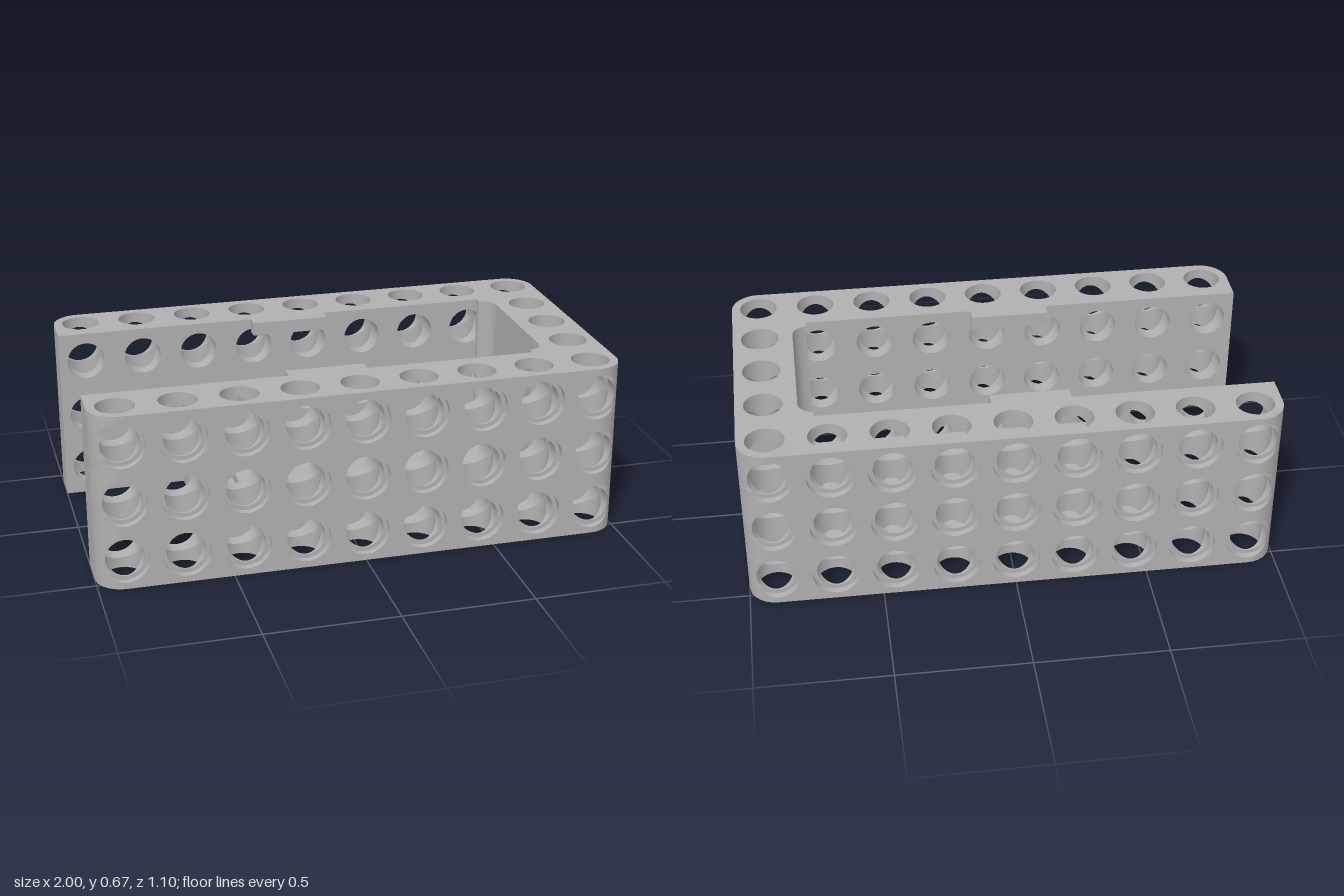
import * as THREE from 'three';
import { mergeGeometries } from 'three/addons/utils/BufferGeometryUtils.js';

const P = 0.224;          // hole pitch
const H = 3 * P;          // height
const R = 0.104;          // corner radius, also hole axis to outer face
const AX = 4 * P, AZ = 2 * P; // outermost hole axes
const RO = 0.088, RI = 0.072; // counterbore and bore radii
const FLOOR = R - 0.026;  // counterbore floor
const IN = 0.32;          // inner face of the side walls
const N = 48;
const TAU = Math.PI * 2;

// Surface from a rule fn(u, v) -> [x, y, z]
function grid(nu, nv, fn) {
  const g = new THREE.PlaneGeometry(1, 1, nu, nv);
  const { position: p, uv } = g.attributes;
  for (let i = 0; i < p.count; i++) p.setXYZ(i, ...fn(uv.getX(i), uv.getY(i)));
  g.computeVertexNormals();
  return g;
}

// Ring surface between two closed loops given by angle
function ring(a, b, segs = 1, map = q => q) {
  return grid(N, segs, (u, v) => {
    const p = a(u * TAU), q = b(u * TAU);
    return map(p.map((c, k) => c + (q[k] - c) * v));
  });
}

// Wall surface unrolled around the rounded corners, and its inverse
function wrap([u, y]) {
  const s = Math.sign(u), d = Math.abs(u) - AX;
  return d <= 0 ? [u, y, R] : [s * (AX + R * Math.sin(d / R)), y, R * Math.cos(d / R)];
}
function unroll(x) {
  const d = Math.abs(x) - AX;
  return d <= 0 ? x : Math.sign(x) * (AX + R * Math.asin(d / R));
}

// One square of outer wall with a counterbored hole that meets the vertical bore
function holeCell(cx, cy, lo, hi, inner, blind) {
  const at = (t, r) => [cx + r * Math.cos(t), cy + r * Math.sin(t)];
  const rim = t => { const [x, y] = at(t, RO); return [unroll(x), y, 0]; };
  const edge = t => {
    const c = Math.cos(t), s = Math.sin(t), m = Math.max(Math.abs(c), Math.abs(s));
    return [cx + (c / m) * (c > 0 ? hi - cx : cx - lo), cy + (s / m) * P / 2, 0];
  };
  const seat = r => t => {
    const [x, y] = at(t, r);
    return [x, y, Math.min(FLOOR, wrap([unroll(x), y])[2])];
  };
  const mitre = k => t => [...at(t, RI), k * Math.abs(RI * Math.sin(t))];
  const back = r => t => [...at(t, r), -inner];
  const parts = [
    ring(edge, rim, hi - lo > P + 0.01 ? 8 : 1, wrap),
    ring(t => wrap(rim(t)), seat(RO)),
    ring(seat(RO), seat(RI)),
    ring(seat(RI), mitre(1)),
    ring(mitre(-1), back(RI)),
  ];
  if (blind) parts.push(ring(back(RI), back(0)));
  return mergeGeometries(parts);
}

// Vertical bore mitred at each crossing hole; cross is the axis of those holes
function verticalBore(x, z, cross, split) {
  const loop = (y, k, r = RI) => t => {
    const c = r * Math.cos(t), s = r * Math.sin(t);
    return [x + c, y + k * Math.abs(cross === 'z' ? s : c), z - s];
  };
  const rows = [2.5 * P, 1.5 * P, 0.5 * P];
  const top = 2.5 * P - 0.13, low = 0.5 * P + 0.13;
  if (split) return mergeGeometries([
    ring(loop(H, 0), loop(rows[0], 1)), ring(loop(rows[0], -1), loop(top, 0)),
    ring(loop(top, 0), loop(top, 0, 0)), ring(loop(low, 0, 0), loop(low, 0)),
    ring(loop(low, 0), loop(rows[2], 1)), ring(loop(rows[2], -1), loop(0, 0)),
  ]);
  return mergeGeometries([
    ring(loop(H, 0), loop(rows[0], 1)),
    ring(loop(rows[0], -1), loop(rows[1], 1)),
    ring(loop(rows[1], -1), loop(rows[2], 1)),
    ring(loop(rows[2], -1), loop(0, 0)),
  ]);
}

function circle(x, y) {
  return new THREE.Path().absarc(x, y, RI, 0, TAU, true);
}

// Closed end of the inner cavity, from +z side to -z side
function cavityEnd(s) {
  s.lineTo(0.715, IN);
  s.lineTo(0.715, 0.295);
  s.quadraticCurveTo(0.765, 0.285, 0.77, 0.235);
  s.lineTo(0.77, -0.235);
  s.quadraticCurveTo(0.765, -0.285, 0.715, -0.295);
  s.lineTo(0.715, -IN);
}

export function createModel() {
  const group = new THREE.Group();
  const grey = new THREE.MeshStandardMaterial({ color: 0xb0b0b0 });
  grey.name = 'grey plastic';
  const add = (name, geo, x = 0, y = 0, z = 0) => {
    const m = new THREE.Mesh(geo, grey);
    m.name = name;
    m.position.set(x, y, z);
    group.add(m);
    return m;
  };

  // Long outer walls with their rounded corners
  const limit = AX + R * Math.PI / 2;
  for (const s of [1, -1]) {
    const cells = [];
    for (let i = 0; i < 9; i++) for (let j = 0; j < 3; j++) {
      const cx = (i - 4) * P, blind = s * cx > AX - 0.01;
      cells.push(holeCell(cx, (j + 0.5) * P, i === 0 ? -limit : cx - P / 2,
        i === 8 ? limit : cx + P / 2, blind ? 0.1 : AZ - IN, blind));
    }
    const wall = add(s > 0 ? 'frontWall' : 'backWall', mergeGeometries(cells), 0, 0, s * AZ);
    if (s < 0) wall.rotation.y = Math.PI;
  }

  // Closed end wall, with no hole in the middle
  const endCells = [];
  for (let i = -1; i <= 1; i++) for (let j = 0; j < 3; j++) {
    const c = i * P, y = (j + 0.5) * P;
    endCells.push(i === 0 && j === 1
      ? new THREE.PlaneGeometry(P, P).translate(c, y, R)
      : holeCell(c, y, c - P / 2, c + P / 2, 0.1, true));
  }
  for (const s of [1, -1])
    endCells.push(new THREE.PlaneGeometry(P / 2, H).translate(s * 1.75 * P, H / 2, R));
  add('endWall', mergeGeometries(endCells), AX).rotation.y = Math.PI / 2;

  // Flat tips of the two arms
  for (const s of [1, -1])
    add('armTip', new THREE.PlaneGeometry(AZ - IN, H).rotateY(-Math.PI / 2), -1, H / 2, s * (AZ + IN) / 2);

  // Inner faces of the side walls
  const inner = new THREE.Shape();
  inner.moveTo(-1, 0).lineTo(0.78, 0).lineTo(0.78, H).lineTo(-1, H).closePath();
  for (let i = 0; i < 8; i++) for (let j = 0; j < 3; j++)
    inner.holes.push(circle((i - 4) * P, (j + 0.5) * P));
  const innerGeo = new THREE.ShapeGeometry(inner, N / 2);
  add('backInnerFace', innerGeo, 0, 0, -IN);
  add('frontInnerFace', innerGeo.clone().rotateX(Math.PI), 0, H, IN);

  // Top and bottom faces, and the vertical bores
  const rim = new THREE.Shape();
  rim.moveTo(-1, IN);
  cavityEnd(rim);
  rim.lineTo(-1, -IN);
  rim.absarc(-AX, -AZ, R, Math.PI, Math.PI * 1.5, false);
  rim.absarc(AX, -AZ, R, -Math.PI / 2, 0, false);
  rim.absarc(AX, AZ, R, 0, Math.PI / 2, false);
  rim.absarc(-AX, AZ, R, Math.PI / 2, Math.PI, false);
  rim.closePath();
  const bores = [];
  const bore = (x, z, cross, split) => {
    rim.holes.push(circle(x, z));
    bores.push(verticalBore(x, z, cross, split));
  };
  for (let i = 0; i < 9; i++) for (const s of [1, -1]) bore((i - 4) * P, s * AZ, 'z');
  for (let i = -1; i <= 1; i++) bore(AX, i * P, 'x', i === 0);
  add('verticalBores', mergeGeometries(bores));
  const rimGeo = new THREE.ShapeGeometry(rim, N / 2);
  add('topFace', rimGeo.clone().rotateX(-Math.PI / 2), 0, H, 0);
  add('bottomFace', rimGeo.clone().rotateX(Math.PI / 2));

  // Inner side of the closed end
  const slab = (shape, h) => new THREE.ExtrudeGeometry(shape,
    { depth: h, bevelEnabled: false, curveSegments: 12 }).rotateX(-Math.PI / 2);
  const end = new THREE.Shape();
  end.moveTo(0.79, IN);
  cavityEnd(end);
  end.lineTo(0.79, -IN).closePath();
  add('innerEnd', slab(end, H));

  // Floor with two slits; the springy tongue has a sunken tip with a slot
  const floorShape = recessed => {
    const f = new THREE.Shape(), x0 = -0.525;
    f.moveTo(x0, -IN).lineTo(0.775, -IN).lineTo(0.775, IN).lineTo(x0, IN);
    f.lineTo(x0, 0.232).lineTo(0.2, 0.232).lineTo(0.2, 0.218).lineTo(x0, 0.218);
    if (recessed) f.lineTo(x0, 0.185).lineTo(-0.35, 0.185).lineTo(-0.35, -0.185).lineTo(x0, -0.185);
    f.lineTo(x0, -0.218).lineTo(0.2, -0.218).lineTo(0.2, -0.232).lineTo(x0, -0.232).closePath();
    if (!recessed) f.holes.push(new THREE.Path().moveTo(-0.47, -0.08).lineTo(-0.47, 0.08)
      .lineTo(-0.4, 0.08).lineTo(-0.4, -0.08).closePath());
    return f;
  };
  add('floorBase', slab(floorShape(false), 0.05));
  add('floorTop', slab(floorShape(true), 0.04), 0, 0.05, 0);

  // Retaining tabs at the top of the cavity
  for (const s of [1, -1])
    add('retainingTab', new THREE.BoxGeometry(0.3, 0.052, 0.05), -0.085, H - 0.026, s * 0.295);

  return group;
}
